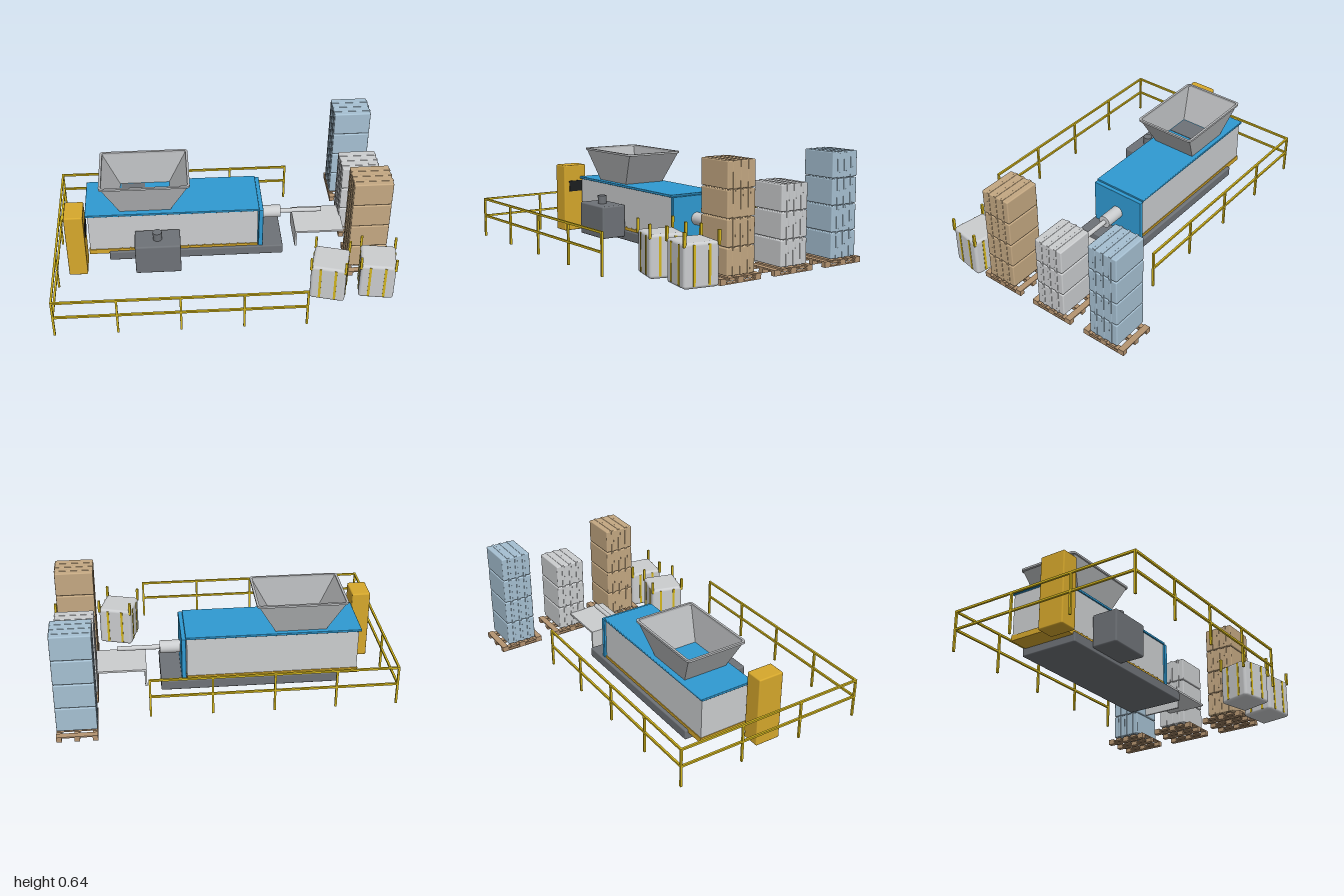
import * as THREE from 'three';
import { RoundedBoxGeometry } from 'three/addons/geometries/RoundedBoxGeometry.js';

const mat = (name, color, extra = {}) => Object.assign(new THREE.MeshStandardMaterial({ color, ...extra }), { name });

export function createModel() {
  const M = {
    blue: mat('machineBlue', 0x2f9ad2),
    light: mat('lightGrey', 0xcbcdcf),
    hopper: mat('hopperGrey', 0xb4b6b8, { side: THREE.DoubleSide }),
    dark: mat('darkGrey', 0x6e7277),
    cabinet: mat('cabinetYellow', 0xd6a82c),
    strap: mat('safetyYellow', 0xd2b51e),
    brown: mat('cardboardBrown', 0xc4a882),
    paleBlue: mat('paleBlue', 0xa6c0d2),
    wood: mat('wood', 0xb59471),
    black: mat('screenBlack', 0x1c1e20),
  };
  const root = new THREE.Group();
  root.name = 'balingStation';

  const add = (parent, name, geo, material, x = 0, y = 0, z = 0) => {
    const m = new THREE.Mesh(geo, material);
    m.name = name;
    m.position.set(x, y, z);
    parent.add(m);
    return m;
  };
  // Box given by its min and max on each axis; r rounds the edges
  const box = (parent, name, material, x0, x1, y0, y1, z0, z1, r = 0) => {
    const s = [x1 - x0, y1 - y0, z1 - z0];
    const geo = r ? new RoundedBoxGeometry(...s, 2, r) : new THREE.BoxGeometry(...s);
    return add(parent, name, geo, material, (x0 + x1) / 2, (y0 + y1) / 2, (z0 + z1) / 2);
  };
  const group = (name, x = 0, z = 0, turn = 0) => {
    const g = new THREE.Group();
    g.name = name;
    g.position.set(x, 0, z);
    g.rotation.y = turn;
    root.add(g);
    return g;
  };

  // Press body
  const press = group('press');
  box(press, 'basePan', M.dark, -0.695, 0.36, 0.02, 0.082, -0.27, 0.095, 0.008);
  box(press, 'baseFrame', M.cabinet, -0.815, 0.205, 0.065, 0.097, -0.25, 0.082);
  box(press, 'pressBody', M.light, -0.81, 0.205, 0.097, 0.345, -0.245, 0.077);
  box(press, 'lid', M.blue, -0.825, 0.212, 0.345, 0.36, -0.255, 0.085, 0.004);
  box(press, 'endPlate', M.blue, 0.21, 0.237, 0.08, 0.35, -0.255, 0.085, 0.004);
  for (let i = 0; i < 16; i++) {
    box(press, 'frameBolt', M.cabinet, -0.62 + i * 0.05, -0.612 + i * 0.05, 0.095, 0.102, 0.076, 0.082);
  }

  // Hopper: four sloping walls between two rectangles
  const hopper = group('hopper');
  const ring = (x0, x1, z0, z1, y) => [[x0, y, z1], [x1, y, z1], [x1, y, z0], [x0, y, z0]];
  const low = ring(-0.615, -0.32, -0.225, 0.05, 0.355);
  const high = ring(-0.72, -0.21, -0.275, 0.092, 0.552);
  const pos = [];
  for (let i = 0; i < 4; i++) {
    const j = (i + 1) % 4;
    pos.push(...low[i], ...low[j], ...high[j], ...low[i], ...high[j], ...high[i]);
  }
  const walls = new THREE.BufferGeometry();
  walls.setAttribute('position', new THREE.Float32BufferAttribute(pos, 3));
  walls.computeVertexNormals();
  add(hopper, 'hopperWalls', walls, M.hopper);
  box(hopper, 'hopperFloor', M.dark, -0.61, -0.465, 0.359, 0.363, -0.22, 0.045);

  // Hopper lip with rounded corners
  const roundRect = (Path, hw, hd, r) => {
    const p = new Path();
    p.absarc(hw - r, hd - r, r, 0, Math.PI / 2);
    p.absarc(-hw + r, hd - r, r, Math.PI / 2, Math.PI);
    p.absarc(-hw + r, -hd + r, r, Math.PI, Math.PI * 1.5);
    p.absarc(hw - r, -hd + r, r, Math.PI * 1.5, Math.PI * 2);
    p.closePath();
    return p;
  };
  const lip = roundRect(THREE.Shape, 0.266, 0.193, 0.022);
  lip.holes.push(roundRect(THREE.Path, 0.252, 0.179, 0.012));
  const lipGeo = new THREE.ExtrudeGeometry(lip, { depth: 0.012, bevelEnabled: false, curveSegments: 5 });
  lipGeo.rotateX(-Math.PI / 2);
  add(hopper, 'hopperLip', lipGeo, M.hopper, -0.465, 0.547, -0.092);

  // Drive box with cap
  const drive = group('drive');
  box(drive, 'driveBox', M.dark, -0.535, -0.265, 0.042, 0.242, 0.09, 0.253, 0.01);
  add(drive, 'driveCap', new THREE.CylinderGeometry(0.027, 0.027, 0.055, 20), M.dark, -0.4, 0.265, 0.175);

  // Control cabinet
  const cabinet = group('controlCabinet');
  box(cabinet, 'cabinetBody', M.cabinet, -0.937, -0.826, 0.005, 0.437, 0.04, 0.2, 0.008);
  box(cabinet, 'cabinetScreen', M.black, -0.827, -0.82, 0.265, 0.335, 0.065, 0.165);

  // Ram
  const ram = group('ram');
  const rodX = (name, r, x0, x1, y, z) => {
    const m = add(ram, name, new THREE.CylinderGeometry(r, r, x1 - x0, 24), M.light, (x0 + x1) / 2, y, z);
    m.rotation.z = Math.PI / 2;
  };
  rodX('ramCylinder', 0.038, 0.23, 0.358, 0.21, -0.085);
  rodX('ramRod', 0.014, 0.35, 0.612, 0.21, -0.085);

  // Outfeed table
  const table = group('outfeedTable');
  box(table, 'tableTop', M.light, 0.442, 0.74, 0.122, 0.134, -0.212, 0.035);
  box(table, 'tableApron', M.light, 0.442, 0.454, 0.018, 0.124, -0.212, 0.03);

  // Pallets with stacked bales
  const stack = (name, z, material, count) => {
    const g = group(name, 0.845, z);
    for (const x of [-0.1, 0, 0.1]) {
      box(g, 'bottomBoard', M.wood, x - 0.015, x + 0.015, 0, 0.007, -0.137, 0.137);
      box(g, 'stringer', M.wood, x - 0.015, x + 0.015, 0.018, 0.025, -0.137, 0.137);
      for (const bz of [-0.117, 0, 0.117]) {
        box(g, 'palletBlock', M.wood, x - 0.015, x + 0.015, 0.007, 0.018, bz - 0.02, bz + 0.02);
      }
    }
    for (let i = 0; i < 5; i++) {
      const bz = -0.119 + i * 0.0595;
      box(g, 'topBoard', M.wood, -0.115, 0.115, 0.025, 0.033, bz - 0.018, bz + 0.018);
    }
    for (let i = 0; i < count; i++) {
      const y = 0.042 + i * 0.151;
      box(g, 'bale', material, -0.113, 0.113, y, y + 0.147, -0.093, 0.093, 0.007);
      for (const sz of [-0.05, 0, 0.05]) {
        box(g, 'baleBand', material, -0.115, 0.115, y - 0.001, y + 0.149, sz - 0.009, sz + 0.009, 0.003);
      }
    }
  };
  stack('brownStack', 0.17, M.brown, 4);
  stack('whiteStack', -0.198, M.light, 3);
  stack('blueStack', -0.568, M.paleBlue, 4);

  // Bulk bags with webbing bands and corner lifting loops
  const bag = (x, z, turn) => {
    const g = group('bulkBag', x, z, turn);
    box(g, 'bagBody', M.light, -0.102, 0.102, 0.008, 0.246, -0.102, 0.102, 0.018);
    for (const s of [-1, 1]) {
      for (const o of [-0.044, 0.044]) {
        const e = s * 0.1025;
        box(g, 'bagBand', M.strap, o - 0.007, o + 0.007, 0.022, 0.235, e - 0.002, e + 0.002);
        box(g, 'bagBand', M.strap, e - 0.002, e + 0.002, 0.022, 0.235, o - 0.007, o + 0.007);
      }
      for (const t of [-1, 1]) {
        box(g, 'liftingLoop', M.strap, s * 0.099 - 0.007, s * 0.099 + 0.007, 0.225, 0.304, t * 0.099 - 0.007, t * 0.099 + 0.007);
      }
    }
  };
  bag(0.596, 0.42, -0.27);
  bag(0.874, 0.42, -0.165);

  // Guard rail on three sides
  const rail = group('guardRail');
  const h = 0.006, L = -0.994, R = 0.432, B = -0.5, F = 0.692;
  for (const y of [0.132, 0.24]) {
    for (const z of [B, F]) box(rail, 'longRail', M.strap, L - h, R + h, y - h, y + h, z - h, z + h);
    box(rail, 'endRail', M.strap, L - h, L + h, y - h, y + h, B, F);
  }
  const post = (x, z) => box(rail, 'railPost', M.strap, x - h, x + h, 0, 0.24, z - h, z + h);
  for (let i = 0; i < 5; i++) for (const z of [B, F]) post(L + (R - L) * i / 4, z);
  for (const i of [1, 2]) post(L, B + (F - B) * i / 3);

  return root;
}
